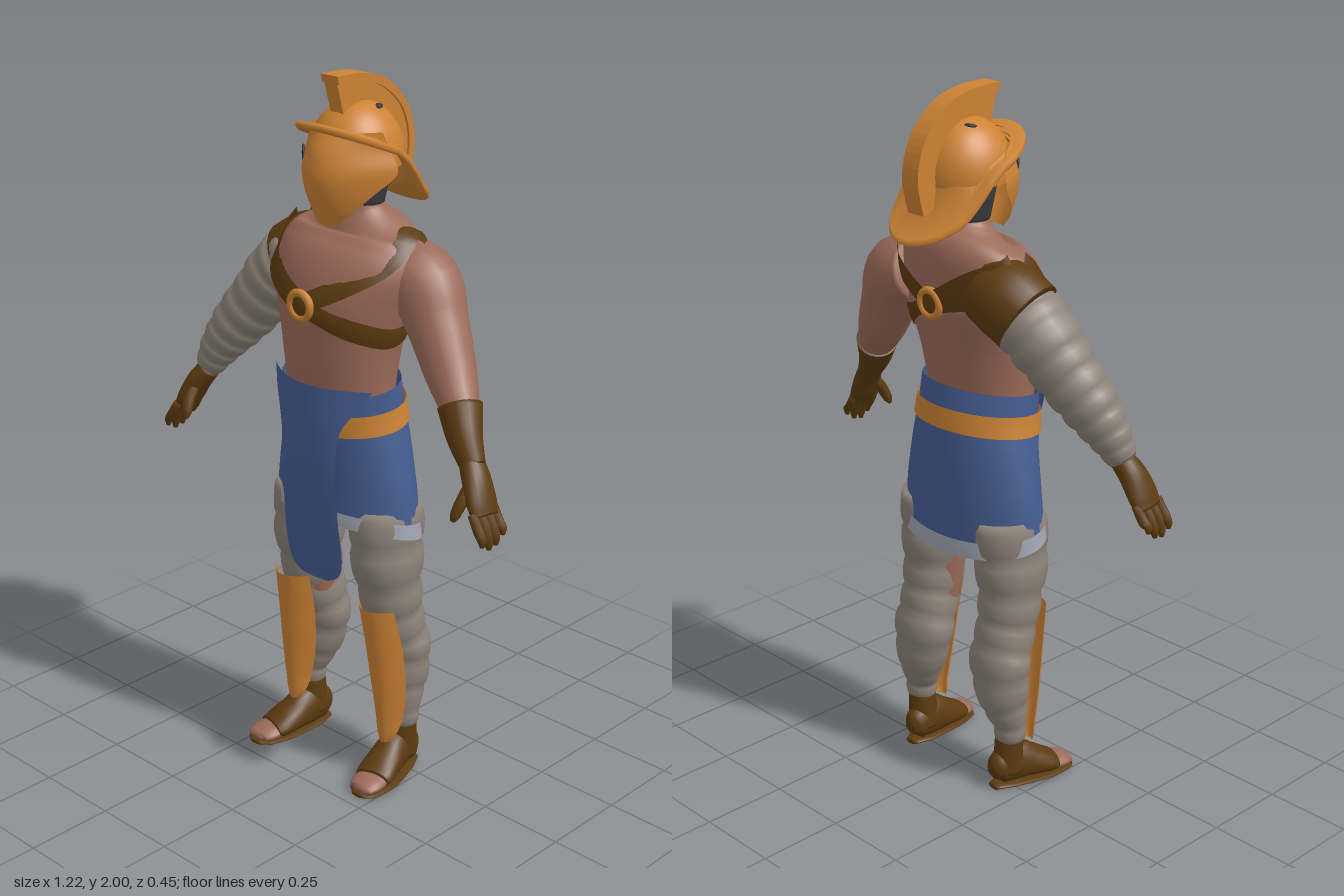
import * as THREE from 'three';

const V = (x, y, z) => new THREE.Vector3(x, y, z);
const paint = (name, color) => new THREE.MeshStandardMaterial({ name, color, side: THREE.DoubleSide });

// Piecewise linear lookup: table rows are [key, value...], keys ascending
function lookup(table, k) {
  let i = 0;
  while (i < table.length - 2 && table[i + 1][0] < k) i++;
  const a = table[i], b = table[i + 1];
  const t = Math.min(1, Math.max(0, (k - a[0]) / (b[0] - a[0])));
  return a.map((v, j) => v + (b[j] - v) * t);
}

// Surface through rows of points
function grid(rows, closed = false, caps = false) {
  const n = rows[0].length, pts = rows.flat(), idx = [];
  const at = (i, j) => i * n + (j % n);
  for (let i = 0; i < rows.length - 1; i++)
    for (let j = 0; j < (closed ? n : n - 1); j++)
      idx.push(at(i, j), at(i, j + 1), at(i + 1, j), at(i, j + 1), at(i + 1, j + 1), at(i + 1, j));
  if (caps) for (const i of [0, rows.length - 1]) {
    const c = rows[i].reduce((s, p) => s.add(p), V(0, 0, 0)).divideScalar(n);
    pts.push(c);
    for (let j = 0; j < n; j++)
      i ? idx.push(at(i, j), at(i, j + 1), pts.length - 1) : idx.push(at(i, j + 1), at(i, j), pts.length - 1);
  }
  const g = new THREE.BufferGeometry().setFromPoints(pts);
  g.setIndex(idx);
  g.computeVertexNormals();
  return g;
}

// Smooth samples of [x, y, z, depthRadius, widthRadius] stations
function sample(st, n) {
  const path = new THREE.CatmullRomCurve3(st.map(s => V(s[0], s[1], s[2])));
  const rad = new THREE.CatmullRomCurve3(st.map(s => V(s[3], s[4] ?? s[3], 0)));
  return Array.from({ length: n + 1 }, (_, i) => {
    const t = i / n, p = path.getPoint(t), r = rad.getPoint(t);
    return { p, r, t, d: path.getTangent(t) };
  });
}

// Elliptical tube through stations, optionally puffed into bands
function limb(st, { n = 20, sides = 20, ref = V(0, 0, 1), bands = 0, caps = true, warp = null } = {}) {
  const rows = sample(st, bands ? bands * 5 : n).map(({ p, r, t, d }) => {
    const u = ref.clone().addScaledVector(d, -ref.dot(d)).normalize();
    const v = d.clone().cross(u);
    const puff = bands ? 0.93 + 0.09 * Math.sqrt(Math.abs(Math.sin(Math.PI * t * bands))) : 1;
    return Array.from({ length: sides }, (_, j) => {
      const a = j / sides * Math.PI * 2;
      const q = p.clone().addScaledVector(u, Math.cos(a) * r.x * puff).addScaledVector(v, Math.sin(a) * r.y * puff);
      if (warp) warp(q);
      return q;
    });
  });
  return grid(rows, true, caps);
}

// Bowed plate facing +z; rows are [y, centreX, halfWidth, frontZ, bow]
function plate(st, sx = 1) {
  const path = sample(st.map(s => [s[0], s[1], s[2], s[3], s[4]]), 24);
  return grid(path.map(({ p, r }) => Array.from({ length: 17 }, (_, j) => {
    const u = 1 - j / 8;
    return V(sx * p.y + u * p.z, p.x, r.x - r.y * u * u);
  })));
}

export function createModel() {
  const model = new THREE.Group();
  const skin = paint('skin', 0x9c6b5a), leather = paint('brown leather', 0x5c3b10), bronze = paint('bronze', 0xcc8234),
    cloth = paint('blue cloth', 0x455d91), hem = paint('pale hem', 0xa0a5b2), padding = paint('grey padding', 0x8c8278),
    dark = paint('dark lining', 0x3a3b3e);
  const add = (name, geo, mat, parent = model) => {
    const m = new THREE.Mesh(geo, mat);
    m.name = name;
    parent.add(m);
    return m;
  };
  const flip = (st, sx) => st.map(([x, ...rest]) => [x * sx, ...rest]);

  // Torso and neck
  const torso = [[0, 1.02, .055, .115, .16], [0, 1.12, .06, .12, .165], [0, 1.2, .06, .13, .17], [0, 1.3, .055, .145, .182],
    [0, 1.4, .045, .158, .208], [0, 1.47, .028, .152, .23], [0, 1.53, .003, .13, .228], [0, 1.58, -.012, .108, .195],
    [0, 1.62, -.006, .078, .115], [0, 1.65, -.002, .062, .078], [0, 1.72, 0, .055, .065]];
  add('torso', limb(torso, { n: 44, sides: 36 }), skin);

  // Chest straps laid on the torso surface; stations are [angle, y, width]
  const table = sample(torso, 80).map(({ p, r }) => [p.y, p.z, r.x, r.y]);
  const surf = (a, y) => {
    const [, cz, rz, rx] = lookup(table, y);
    return V(Math.sin(a) * rx, y, cz + Math.cos(a) * rz);
  };
  function strap(st) {
    const s = sample(st.map(q => [q[0], q[1], 0, q[2]]), 48);
    return grid(s.map(({ p, r, d }) => {
      const c = surf(p.x, p.y), e = .01;
      const n = surf(p.x + e, p.y).sub(c).cross(surf(p.x, p.y + e).sub(c)).normalize();
      const along = surf(p.x + d.x * e, p.y + d.y * e).sub(c).normalize();
      const side = n.clone().cross(along);
      return [-1, -.5, 0, .5, 1].map(k => c.clone().addScaledVector(n, .011 - .003 * k * k).addScaledVector(side, k * r.x / 2));
    }));
  }
  const P = Math.PI;
  add('chestStrap', strap([[-1.7, 1.54, .13], [-1.0, 1.49, .07], [0, 1.41, .06], [.8, 1.36, .06], [1.57, 1.33, .06],
    [2.4, 1.37, .06], [P, 1.44, .06], [3.8, 1.5, .11], [4.5, 1.53, .15]]), leather);
  add('shoulderStrap', strap([[0, 1.41, .055], [.75, 1.5, .055], [1.2, 1.565, .055], [1.57, 1.59, .055],
    [2, 1.56, .055], [2.5, 1.51, .055], [P, 1.44, .055]]), leather);
  for (const [name, y, z, rx] of [['frontRing', 1.41, .212, .06], ['backRing', 1.44, -.127, -.06]]) {
    const ring = add(name, new THREE.TorusGeometry(.036, .011, 8, 24), bronze);
    ring.position.set(0, y, z);
    ring.rotation.x = rx;
    const boss = add(name + 'Backing', new THREE.SphereGeometry(.03, 16, 8), leather);
    boss.scale.z = .3;
    boss.position.set(0, y, z);
  }

  // Bare left arm, padded right arm
  add('leftArm', limb([[.13, 1.49, -.035, .09], [.215, 1.465, -.03, .1], [.285, 1.37, -.01, .084], [.36, 1.26, .02, .069],
    [.433, 1.175, .058, .048]]), skin);
  add('rightShoulderGuard', limb([[-.13, 1.49, -.035, .095], [-.2, 1.47, -.03, .107], [-.255, 1.435, -.018, .106]]), leather);
  add('rightSleeve', limb([[-.2, 1.465, -.015, .1], [-.275, 1.405, -.005, .105, .1], [-.35, 1.31, .02, .09],
    [-.42, 1.22, .048, .078], [-.47, 1.145, .072, .06], [-.503, 1.08, .09, .04]], { bands: 9 }), padding);
  add('leftCuff', limb([[.418, 1.195, .05, .06], [.46, 1.13, .078, .048], [.505, 1.065, .095, .034]]), leather);

  // Gloved hands
  for (const [side, sx] of [['left', 1], ['right', -1]]) {
    const hand = new THREE.Group();
    hand.name = side + 'Hand';
    model.add(hand);
    add('palm', limb(flip([[.495, 1.08, .092, .034, .032], [.525, 1.04, .105, .043, .032], [.552, .99, .115, .05, .027],
      [.57, .955, .12, .046, .02]], sx)), leather, hand);
    for (let i = 0; i < 4; i++) {
      const z = .08 + i * .027, drop = [.02, 0, -.005, .01][i];
      add('finger', limb(flip([[.562, .97, z, .013], [.587, .93, z + .003, .014], [.6, .9 + drop, z + .005, .012],
        [.602, .882 + drop, z + .006, .006]], sx), { n: 8, sides: 8 }), leather, hand);
    }
    add('thumb', limb(flip([[.525, 1.03, .125, .018], [.52, .99, .155, .017], [.513, .955, .172, .014], [.51, .94, .178, .006]], sx),
      { n: 8, sides: 10 }), leather, hand);
  }

  // Skirt, hem, belt and apron; the hem hangs lower at the back
  const sag = q => { q.y += .26 * (q.z - .1) * Math.min(1, Math.max(0, (1.02 - q.y) / .24)); };
  const open = { caps: false, sides: 40, warp: sag };
  add('skirt', limb([[0, .775, .035, .135, .245], [0, .9, .035, .137, .228], [0, 1, .04, .14, .206], [0, 1.1, .05, .142, .186],
    [0, 1.18, .06, .137, .184]], open), cloth);
  add('skirtHem', limb([[0, .77, .035, .141, .252], [0, .79, .035, .141, .249], [0, .812, .035, .14, .246]], open), hem);
  add('belt', limb([[0, 1.065, .047, .149, .2], [0, 1.095, .05, .149, .195], [0, 1.125, .053, .148, .192]], open), bronze);
  add('apron', plate([[1.19, 0, .182, .203, .075], [1.135, 0, .15, .206, .05], [1.07, 0, .112, .208, .026], [.95, 0, .1, .206, .018],
    [.8, 0, .103, .196, .016], [.68, 0, .105, .185, .018], [.63, 0, .088, .178, .014], [.61, 0, .055, .175, .006]]), cloth);
  const pelvis = add('pelvis', new THREE.SphereGeometry(1, 24, 12), skin);
  pelvis.scale.set(.19, .12, .11);
  pelvis.position.set(0, .86, .03);

  // Legs, shin guards and shoes
  for (const [side, sx] of [['left', 1], ['right', -1]]) {
    const leg = new THREE.Group();
    leg.name = side + 'Leg';
    model.add(leg);
    add('paddedLegging', limb(flip([[.145, .83, .03, .115, .092], [.15, .7, .035, .113, .094], [.155, .57, .025, .092, .086],
      [.155, .48, .008, .084, .085], [.157, .39, -.015, .076, .095], [.17, .28, -.012, .068, .076], [.185, .2, 0, .046, .05],
      [.185, .15, 0, .042, .044]], sx), { bands: 8, sides: 24 }), padding, leg);
    add('innerThigh', limb(flip([[.1, .82, .03, .06], [.108, .66, .035, .052], [.12, .52, .03, .05], [.14, .36, .01, .04]], sx)), skin, leg);
    add('shinGuard', plate([[.545, .165, .066, .137, .045], [.43, .172, .07, .12, .052], [.31, .178, .066, .106, .052],
      [.2, .182, .05, .096, .045], [.14, .182, .034, .09, .025], [.115, .182, .015, .087, .01]], sx), bronze, leg);
    add('ankle', limb(flip([[.18, .05, 0, .045], [.182, .12, 0, .042], [.185, .18, 0, .04]], sx)), leather, leg);
    const foot = { ref: V(0, 1, 0) };
    add('shoe', limb(flip([[.175, .05, -.056, .02], [.175, .058, -.035, .05, .036], [.18, .068, .02, .064, .043],
      [.19, .052, .08, .047, .053], [.2, .036, .13, .033, .056], [.205, .032, .15, .026, .052]], sx), foot), leather, leg);
    add('toes', limb(flip([[.2, .03, .13, .025, .05], [.207, .026, .175, .021, .048], [.21, .023, .2, .014, .038],
      [.21, .021, .208, .005, .02]], sx), foot), skin, leg);
    add('sole', limb(flip([[.175, .008, -.055, .008, .02], [.18, .008, 0, .008, .043], [.2, .008, .12, .008, .06],
      [.208, .008, .19, .008, .048], [.208, .008, .215, .006, .02]], sx), foot), leather, leg);
  }

  // Helmet: lining, dome, face guard
  add('lining', limb([[0, 1.655, -.005, .064, .078], [0, 1.72, -.005, .078, .09], [0, 1.8, 0, .09, .1]]), dark);
  const dome = add('helmetDome', new THREE.SphereGeometry(1, 36, 20, 0, P * 2, 0, P * .55), bronze);
  dome.scale.set(.125, .145, .13);
  dome.position.y = 1.78;
  add('faceGuard', plate([[1.86, 0, .122, .13, .1], [1.81, 0, .134, .157, .145], [1.755, 0, .152, .168, .165],
    [1.7, 0, .118, .16, .105], [1.65, 0, .075, .14, .045], [1.61, 0, .03, .122, .008]]), bronze);

  // Brim sweeping from a raised visor down to the neck guard
  const brimY = z => lookup([[-.22, 1.625], [-.12, 1.69], [-.02, 1.805], [.16, 1.88]], z)[1];
  const brimRow = (rx, front, back, shift, floor = 0) => Array.from({ length: 56 }, (_, j) => {
    const a = -j / 56 * P * 2, c = Math.cos(a), z = c > 0 ? c * front : -Math.pow(-c, .8) * back;
    return V(Math.sin(a) * rx, Math.max(floor, brimY(z) + shift), z);
  });
  add('brim', grid([brimRow(.122, .122, .125, .012, 1.765), brimRow(.13, .128, .14, .006), brimRow(.153, .16, .218, .006),
    brimRow(.155, .164, .222, -.006), brimRow(.15, .158, .215, -.014), brimRow(.122, .12, .125, -.008)], true), bronze);

  // Crest with a wider rounded top rim
  const outer = [[-.1, 2], [0, 1.995], [.09, 1.965], [.165, 1.89], [.195, 1.79], [.175, 1.69]];
  function crest(inner, width) {
    const shape = new THREE.Shape();
    const v = list => list.map(p => new THREE.Vector2(...p));
    shape.setFromPoints([...new THREE.SplineCurve(v(outer)).getPoints(28), ...new THREE.SplineCurve(v(inner)).getPoints(28).reverse()]);
    const g = new THREE.ExtrudeGeometry(shape, { depth: width, bevelEnabled: false });
    return g.rotateY(P / 2).translate(-width / 2, 0, 0);
  }
  add('crest', crest([[-.07, 1.89], [0, 1.9], [.06, 1.88], [.1, 1.84], [.115, 1.78], [.12, 1.7]], .046), bronze);
  add('crestRim', crest([[-.095, 1.978], [0, 1.972], [.078, 1.945], [.147, 1.88], [.174, 1.79], [.157, 1.695]], .06), bronze);

  // Dark openings in the helmet
  for (const [name, x, y, z, rx, ry] of [['leftVent', .05, 1.908, -.028, 1.4, 0], ['rightVent', -.05, 1.908, -.028, 1.4, 0],
    ['eyeOpening', -.07, 1.79, .125, 0, -.75]]) {
    const hole = add(name, new THREE.SphereGeometry(1, 12, 8), dark);
    hole.scale.set(.018, ry ? .026 : .013, .005);
    hole.position.set(x, y, z);
    hole.rotation.set(-rx, ry, x * (ry ? 0 : -8));
  }
  return model;
}
